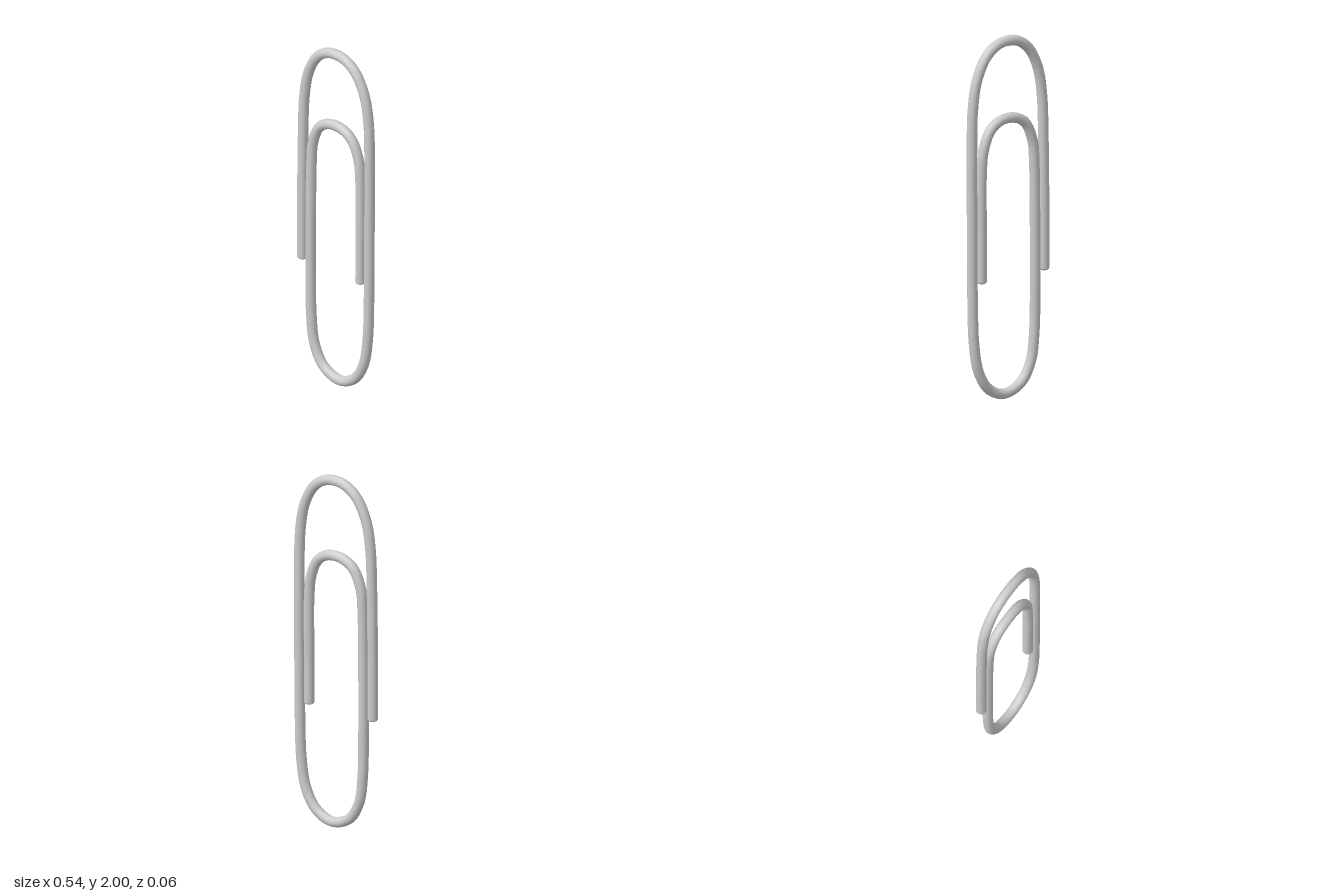
import * as THREE from 'three';

const RADIUS = 0.028;

export function createModel() {
  const group = new THREE.Group();
  group.name = 'paperClip';
  const material = new THREE.MeshStandardMaterial({ color: 0xcccccc });

  // Centre line of the wire, from the outer free end to the inner free end
  const points = [
    [-0.243, 0.675], [-0.243, 1.0], [-0.238, 1.4], [-0.228, 1.64], [-0.2, 1.79],
    [-0.14, 1.905], [-0.07, 1.958], [0, 1.972], [0.075, 1.958], [0.145, 1.905],
    [0.205, 1.79], [0.233, 1.63], [0.239, 1.4], [0.238, 1.0], [0.235, 0.6],
    [0.225, 0.34], [0.195, 0.18], [0.13, 0.075], [0.025, 0.028], [-0.09, 0.071],
    [-0.155, 0.18], [-0.178, 0.34], [-0.183, 0.6], [-0.182, 1.0], [-0.178, 1.25],
    [-0.166, 1.39], [-0.12, 1.495], [-0.065, 1.533], [0, 1.545], [0.065, 1.533],
    [0.12, 1.49], [0.162, 1.39], [0.175, 1.25], [0.175, 1.0], [0.174, 0.675],
  ].map(([x, y]) => new THREE.Vector3(x, y, 0));
  const curve = new THREE.CatmullRomCurve3(points, false, 'centripetal');

  const wire = new THREE.Mesh(new THREE.TubeGeometry(curve, 220, RADIUS, 14, false), material);
  wire.name = 'wire';
  group.add(wire);

  // Shallow rounded tips closing both ends, pointing down
  const ends = { outerTip: points[0], innerTip: points[points.length - 1] };
  for (const [name, position] of Object.entries(ends)) {
    const geometry = new THREE.SphereGeometry(RADIUS, 14, 6, 0, Math.PI * 2, Math.PI / 2, Math.PI / 2);
    geometry.scale(1, 0.5, 1);
    const tip = new THREE.Mesh(geometry, material);
    tip.name = name;
    tip.position.copy(position);
    group.add(tip);
  }

  return group;
}
